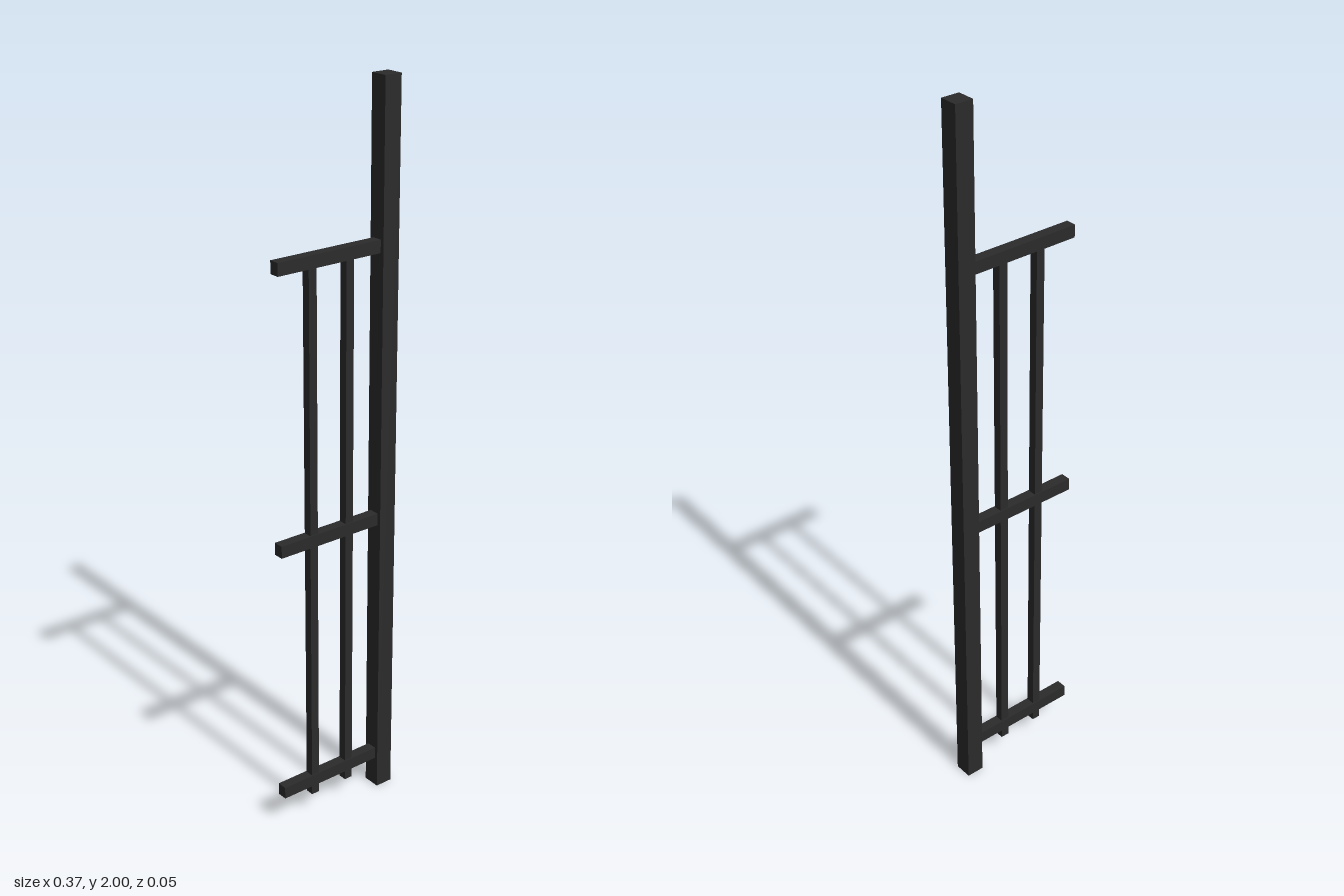
import * as THREE from 'three';

export function createModel() {
  const group = new THREE.Group();
  const blackIron = new THREE.MeshStandardMaterial({ color: 0x2b2b2b });
  blackIron.name = 'black iron';

  // Square-section bar given by its extents
  const bar = (name, x0, x1, y0, y1, depth) => {
    const mesh = new THREE.Mesh(new THREE.BoxGeometry(x1 - x0, y1 - y0, depth), blackIron);
    mesh.position.set((x0 + x1) / 2, (y0 + y1) / 2, 0);
    mesh.name = name;
    group.add(mesh);
  };

  // Tall post
  bar('post', 0.133, 0.183, 0, 2, 0.05);

  // Horizontal rails, bottom to top
  [['bottomRail', 0.105], ['middleRail', 0.836], ['topRail', 1.581]].forEach(([name, y]) =>
    bar(name, -0.183, 0.134, y - 0.017, y + 0.017, 0.029));

  // Upright balusters, passing a little below the bottom rail
  [['rightBaluster', -0.077], ['leftBaluster', 0.039]].forEach(([name, x]) =>
    bar(name, x - 0.012, x + 0.012, 0.06, 1.57, 0.024));

  return group;
}
